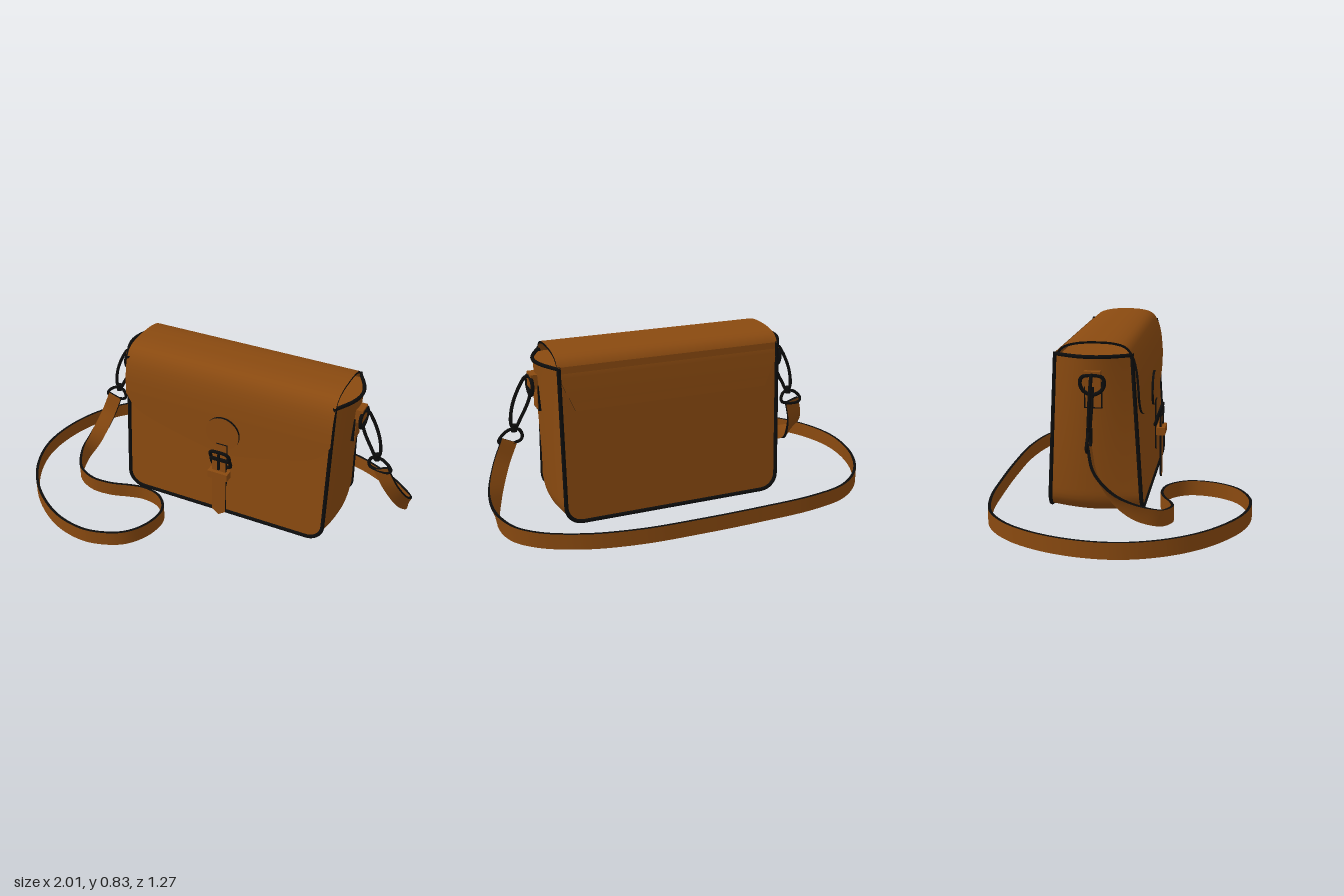
import * as THREE from 'three';

const V = (x, y, z) => new THREE.Vector3(x, y, z);
const lerp = THREE.MathUtils.lerp;
const leather = new THREE.MeshStandardMaterial({ color: 0x8a4a10, side: THREE.DoubleSide });
leather.name = 'brown leather';
const black = new THREE.MeshStandardMaterial({ color: 0x0c0c0c, side: THREE.DoubleSide });
black.name = 'black trim';

const CX = 0.115; // bag centre
const H = 0.55, TOP = 0.78, BASE = 0.02, R = 0.08;
const zFront = (y) => 0.112 - 0.05 * y / TOP;
const zBack = (y) => -0.335 + 0.04 * y / TOP;

function add(parent, name, geometry, material, x = 0, y = 0, z = 0) {
  const m = new THREE.Mesh(geometry, material);
  m.name = name;
  m.position.set(x, y, z);
  parent.add(m);
  return m;
}

// Grid surface from a rule f(u, v) -> Vector3
function sheet(nu, nv, f) {
  const g = new THREE.PlaneGeometry(1, 1, nu, nv);
  const p = g.attributes.position, uv = g.attributes.uv;
  for (let i = 0; i < p.count; i++) {
    const q = f(uv.getX(i), uv.getY(i));
    p.setXYZ(i, q.x, q.y, q.z);
  }
  g.computeVertexNormals();
  return g;
}

// Thick leather sheet, f(u, v, side): two brown faces and a black cut edge
function slab(parent, name, nu, nv, f) {
  const grp = new THREE.Group();
  grp.name = name;
  parent.add(grp);
  for (const s of [1, -1]) add(grp, s > 0 ? 'outerFace' : 'innerFace', sheet(nu, nv, (u, v) => f(u, v, s)), leather);
  for (const e of [0, 1]) {
    add(grp, 'longEdge', sheet(nu, 1, (u, s) => f(u, e, s * 2 - 1)), black);
    add(grp, 'endEdge', sheet(nv, 1, (v, s) => f(e, v, s * 2 - 1)), black);
  }
}

function tube(parent, name, pts, radius, closed, segs = 48) {
  const c = new THREE.CatmullRomCurve3(pts, closed);
  return add(parent, name, new THREE.TubeGeometry(c, segs, radius, 8, closed), black);
}

function buildBody(bag) {
  const path = new THREE.Shape();
  path.moveTo(-H, TOP);
  path.lineTo(-H, BASE + R);
  path.absarc(-H + R, BASE + R, R, Math.PI, Math.PI * 1.5, false);
  path.lineTo(H - R, BASE);
  path.absarc(H - R, BASE + R, R, Math.PI * 1.5, Math.PI * 2, false);
  path.lineTo(H, TOP);
  const N = 120, pts = path.getSpacedPoints(N);

  // Gusset: bulges outward between the panels, most at the top
  const bulge = (p, v) => {
    const s = Math.sin(Math.PI * v);
    const x = p.x + (p.x / H) * s * (0.02 + 0.05 * p.y / TOP);
    const y = p.y - 0.015 * s * Math.max(0, 1 - (p.y - BASE) / R);
    return V(x, y, lerp(zFront(p.y), zBack(p.y), v));
  };
  add(bag, 'gusset', sheet(N, 16, (u, v) => bulge(pts[Math.round(u * N)], v)), leather);

  // Front and back panels with piping
  for (const [name, zAt] of [['front', zFront], ['back', zBack]]) {
    const g = new THREE.ShapeGeometry(path, 12);
    const p = g.attributes.position;
    for (let i = 0; i < p.count; i++) p.setZ(i, zAt(p.getY(i)));
    g.computeVertexNormals();
    add(bag, name + 'Panel', g, leather);
    tube(bag, name + 'Piping', pts.map((q) => V(q.x, q.y, zAt(q.y))), 0.01, false, 160);
  }

  // Recessed top closure and black gusset rims
  add(bag, 'topClosure', sheet(2, 16, (u, v) => {
    const q = bulge({ x: H, y: 0.76 }, v);
    return V(q.x * (u * 2 - 1), q.y, q.z);
  }), leather);
  for (const s of [-1, 1]) {
    const rim = [];
    for (let i = 0; i <= 12; i++) rim.push(bulge({ x: s * H, y: TOP - 0.008 }, i / 12));
    tube(bag, 'gussetRim', rim, 0.009, false);
  }
}

function buildFlap(bag) {
  const arch = new THREE.CatmullRomCurve3([
    [-0.313, 0.57], [-0.302, 0.7], [-0.292, 0.765], [-0.262, 0.806], [-0.2, 0.827], [-0.1, 0.834],
    [-0.01, 0.828], [0.04, 0.81], [0.071, 0.768], [0.09, 0.7], [0.1, 0.6],
  ].map(([z, y]) => V(0, y, z)));
  const K = 0.8, T = 0.011;
  slab(bag, 'flap', 50, 40, (u, v, s) => {
    const a = v * 2 - 1, b = Math.abs(a);
    let p, n;
    if (u <= K + 1e-6) {
      const t = Math.min(1, u / K), d = arch.getTangentAt(t);
      p = arch.getPointAt(t);
      n = V(0, d.z, -d.y);
    } else {
      // Front apron dips to a soft point in the middle
      const end = 0.37 + 0.135 * Math.pow(b, 1.25) + 0.075 * Math.pow(b, 14);
      const y = lerp(0.6, end, (u - K) / (1 - K));
      p = V(0, y, 0.1 + 0.022 * (0.6 - y));
      n = V(0, 0, 1);
    }
    // Back end tapers
    const w = u < 0.5 ? Math.min(1, 0.87 + 0.13 * (p.y - 0.57) / 0.17) : 1;
    if (s < 0) p.addScaledVector(n, -T);
    p.x = a * 0.555 * w;
    return p;
  });
}

// Pointed leather tongue with black edges
function tongue(parent, name, w, y0, y1, z, depth) {
  const s = new THREE.Shape();
  s.moveTo(-w, y1);
  s.lineTo(-w, y0 + w * 0.7);
  s.lineTo(0, y0);
  s.lineTo(w, y0 + w * 0.7);
  s.lineTo(w, y1);
  add(parent, name, new THREE.ExtrudeGeometry(s, { depth, bevelEnabled: false }), [leather, black], 0, 0, z);
}

function buildClosure(bag) {
  const disc = add(bag, 'closurePatch', new THREE.CylinderGeometry(0.09, 0.09, 0.012, 48), [black, leather, leather], 0, 0.5, 0.11);
  disc.rotation.x = Math.PI / 2;
  tongue(bag, 'underStrap', 0.03, 0.17, 0.44, 0.117, 0.008);
  tongue(bag, 'closureStrap', 0.038, 0.02, 0.37, 0.143, 0.01);
  add(bag, 'strapKeeper', new THREE.BoxGeometry(0.108, 0.04, 0.046), leather, 0, 0.278, 0.149);
  // Buckle frame and prong
  const x = 0.05;
  tube(bag, 'buckleFrame', [
    [-x, 0.32], [-x, 0.36], [-x, 0.395], [-0.035, 0.408], [0.035, 0.408], [x, 0.395], [x, 0.36], [x, 0.32], [0.035, 0.31], [-0.035, 0.31],
  ].map(([a, b]) => V(a, b, 0.115 + (b - 0.3) * 0.35)), 0.009, true, 80);
  add(bag, 'buckleBar', new THREE.BoxGeometry(0.1, 0.014, 0.014), black, 0, 0.365, 0.148);
  add(bag, 'buckleProng', new THREE.BoxGeometry(0.012, 0.09, 0.01), black, 0, 0.355, 0.157);
}

// Tab, ring and clasp; s = 1 for the bag's left, -1 for its right
function buildHardware(bag, s) {
  const g = new THREE.Group();
  g.name = s > 0 ? 'leftHardware' : 'rightHardware';
  bag.add(g);
  const Z = -0.108;
  const P = (list, dz = 0) => list.map(([x, y]) => V(s * x, y, Z + dz));
  add(g, 'tabBacking', new THREE.BoxGeometry(0.02, 0.125, 0.084), black, s * 0.604, 0.595, Z);
  add(g, 'tabPatch', new THREE.BoxGeometry(0.026, 0.113, 0.072), leather, s * 0.604, 0.595, Z);
  add(g, 'tabLoop', new THREE.BoxGeometry(0.04, 0.07, 0.076), leather, s * 0.625, 0.675, Z);
  // D-ring hangs parallel to the gusset
  const ring = [[-0.045, 0.685], [0.045, 0.685], [0.056, 0.655], [0.04, 0.62], [0, 0.603], [-0.04, 0.62], [-0.056, 0.655]];
  tube(g, 'dRing', ring.map(([z, y]) => V(s * 0.642, y, Z + z)), 0.009, true);
  tube(g, 'claspHook', P([[0.64, 0.69], [0.66, 0.695], [0.687, 0.66], [0.73, 0.56], [0.74, 0.47], [0.725, 0.445], [0.69, 0.5], [0.65, 0.58], [0.637, 0.64]]), 0.0085, true, 64);
  add(g, 'swivel', new THREE.CylinderGeometry(0.015, 0.015, 0.035, 16), black, s * 0.728, 0.45, Z);
  tube(g, 'strapRing', P([[0.705, 0.44], [0.755, 0.442], [0.803, 0.395], [0.79, 0.375], [0.7, 0.385], [0.69, 0.405]]), 0.008, true);
}

function buildStrap(root) {
  const F = 0.043; // centre height of the strap lying on its edge
  const curve = new THREE.CatmullRomCurve3([
    [-0.64, 0.39, -0.105], [-0.675, 0.28, -0.075], [-0.705, 0.17, 0.02], [-0.715, 0.115, 0.12], [-0.675, 0.08, 0.22],
    [-0.58, 0.066, 0.265], [-0.48, 0.052, 0.25], [-0.38, F, 0.21], [-0.3, F, 0.195], [-0.2, F, 0.22],
    [-0.13, F, 0.31], [-0.14, F, 0.44], [-0.21, F, 0.55], [-0.32, F, 0.607], [-0.43, F, 0.622],
    [-0.6, F, 0.58], [-0.8, F, 0.44], [-0.93, F, 0.26], [-0.99, F, 0.05], [-0.96, F, -0.2],
    [-0.85, F, -0.42], [-0.7, F, -0.55], [-0.5, F, -0.605], [-0.2, F, -0.625], [0.1, F, -0.63],
    [0.4, F, -0.62], [0.65, F, -0.57], [0.85, F, -0.47], [0.945, 0.055, -0.38], [0.983, 0.09, -0.29],
    [0.97, 0.16, -0.2], [0.92, 0.28, -0.13], [0.868, 0.39, -0.107],
  ].map((p) => V(...p)));
  curve.arcLengthDivisions = 600;
  const ease = (t) => THREE.MathUtils.smoothstep(t, 0, 0.1);
  slab(root, 'shoulderStrap', 320, 2, (u, v, s) => {
    const p = curve.getPointAt(u), t = curve.getTangentAt(u);
    // Width direction twists from sideways at the clasps to upright on the ground
    const k = ease(Math.min(u, 1 - u));
    const w = V((u < 0.5 ? -1 : 1) * (1 - k), lerp(0.3, 1, k), 0);
    w.addScaledVector(t, -w.dot(t)).normalize();
    const n = t.clone().cross(w);
    return p.addScaledVector(w, (v - 0.5) * 0.075).addScaledVector(n, s * 0.007);
  });
}

export function createModel() {
  const root = new THREE.Group();
  root.name = 'shoulderBag';
  const bag = new THREE.Group();
  bag.name = 'bag';
  bag.position.x = CX;
  root.add(bag);
  buildBody(bag);
  buildFlap(bag);
  buildClosure(bag);
  buildHardware(bag, 1);
  buildHardware(bag, -1);
  buildStrap(root);
  return root;
}
